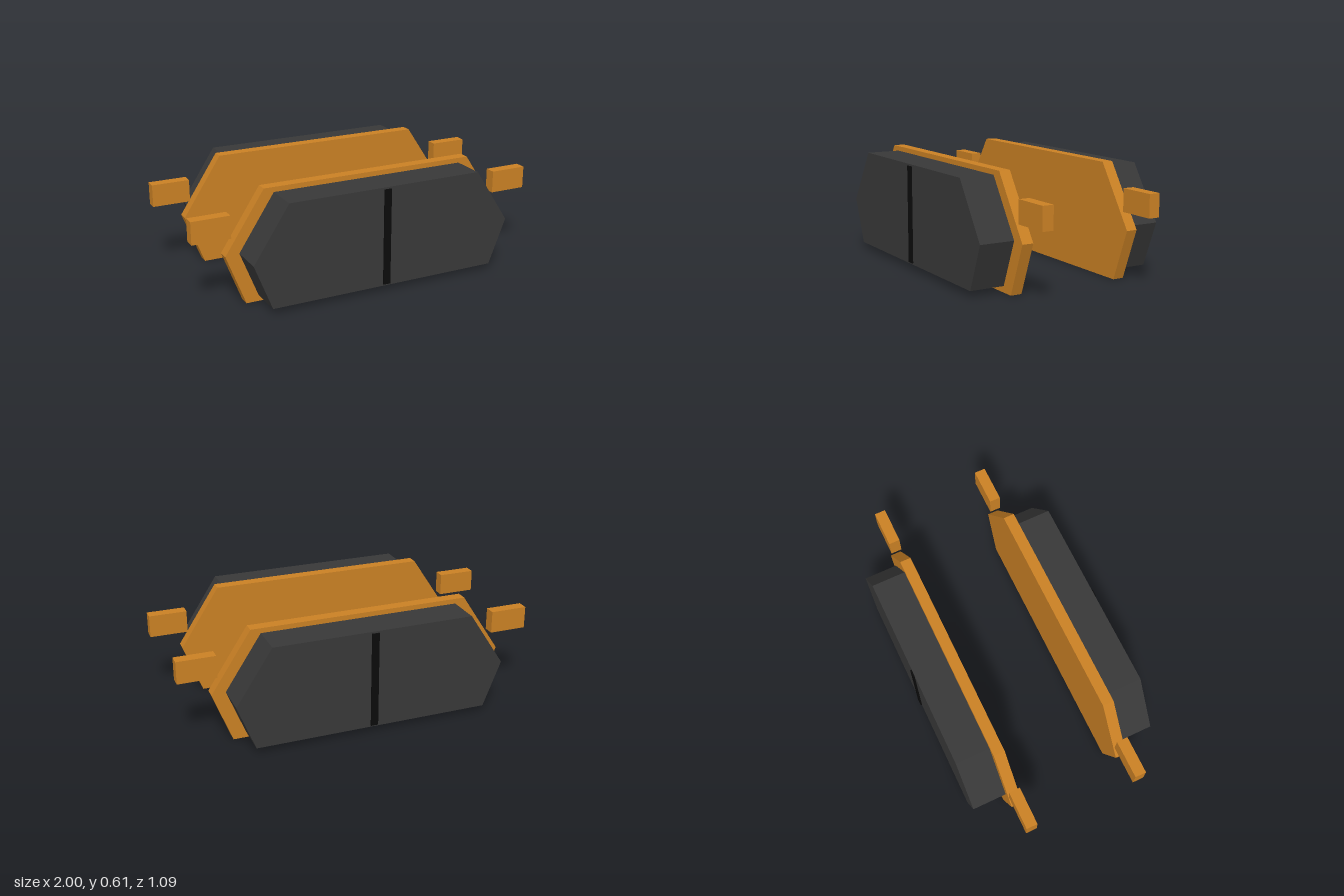
import * as THREE from 'three';

const material = (name, color) => {
  const m = new THREE.MeshStandardMaterial({ color });
  m.name = name;
  return m;
};

// Hexagonal slab, symmetric in x, from [halfWidth, y] corners listed bottom to top
function hexSlab(corners, depth) {
  const right = corners.map(([x, y]) => new THREE.Vector2(x, y));
  const left = corners.map(([x, y]) => new THREE.Vector2(-x, y)).reverse();
  return new THREE.ExtrudeGeometry(new THREE.Shape([...right, ...left]), { depth, bevelEnabled: false });
}

export function createModel() {
  const copper = material('copper orange', 0xc98024);
  const friction = material('charcoal', 0x383838);
  const black = material('slot black', 0x0b0b0b);

  const PLATE_Z = 0.285, PLATE_D = 0.062, PAD_D = 0.192;
  const padZ = PLATE_Z + PLATE_D;

  const plateGeo = hexSlab([[0.72, 0], [0.826, 0.278], [0.607, 0.61]], PLATE_D);
  const padGeo = hexSlab([[0.652, 0.034], [0.75, 0.284], [0.553, 0.583]], PAD_D);
  const earGeo = new THREE.BoxGeometry(0.21, 0.124, PLATE_D);
  const slotGeo = new THREE.BoxGeometry(0.04, 0.53, 0.008);

  const model = new THREE.Group();
  model.name = 'brakePadPair';

  // Two identical pads, back to back
  for (const [name, turn] of [['frontPad', 0], ['backPad', Math.PI]]) {
    const pad = new THREE.Group();
    pad.name = name;
    pad.rotation.y = turn;
    const add = (part, geo, mat, x, y, z) => {
      const mesh = new THREE.Mesh(geo, mat);
      mesh.name = part;
      mesh.position.set(x, y, z);
      pad.add(mesh);
    };
    add('backingPlate', plateGeo, copper, 0, 0, PLATE_Z);
    add('frictionBlock', padGeo, friction, 0, 0, padZ);
    // Centre line on the friction face
    add('centreSlot', slotGeo, black, 0, 0.308, padZ + PAD_D + 0.004);
    // Guide ears either side of the plate
    add('leftEar', earGeo, copper, 0.895, 0.434, PLATE_Z + PLATE_D / 2);
    add('rightEar', earGeo, copper, -0.895, 0.434, PLATE_Z + PLATE_D / 2);
    model.add(pad);
  }
  return model;
}
